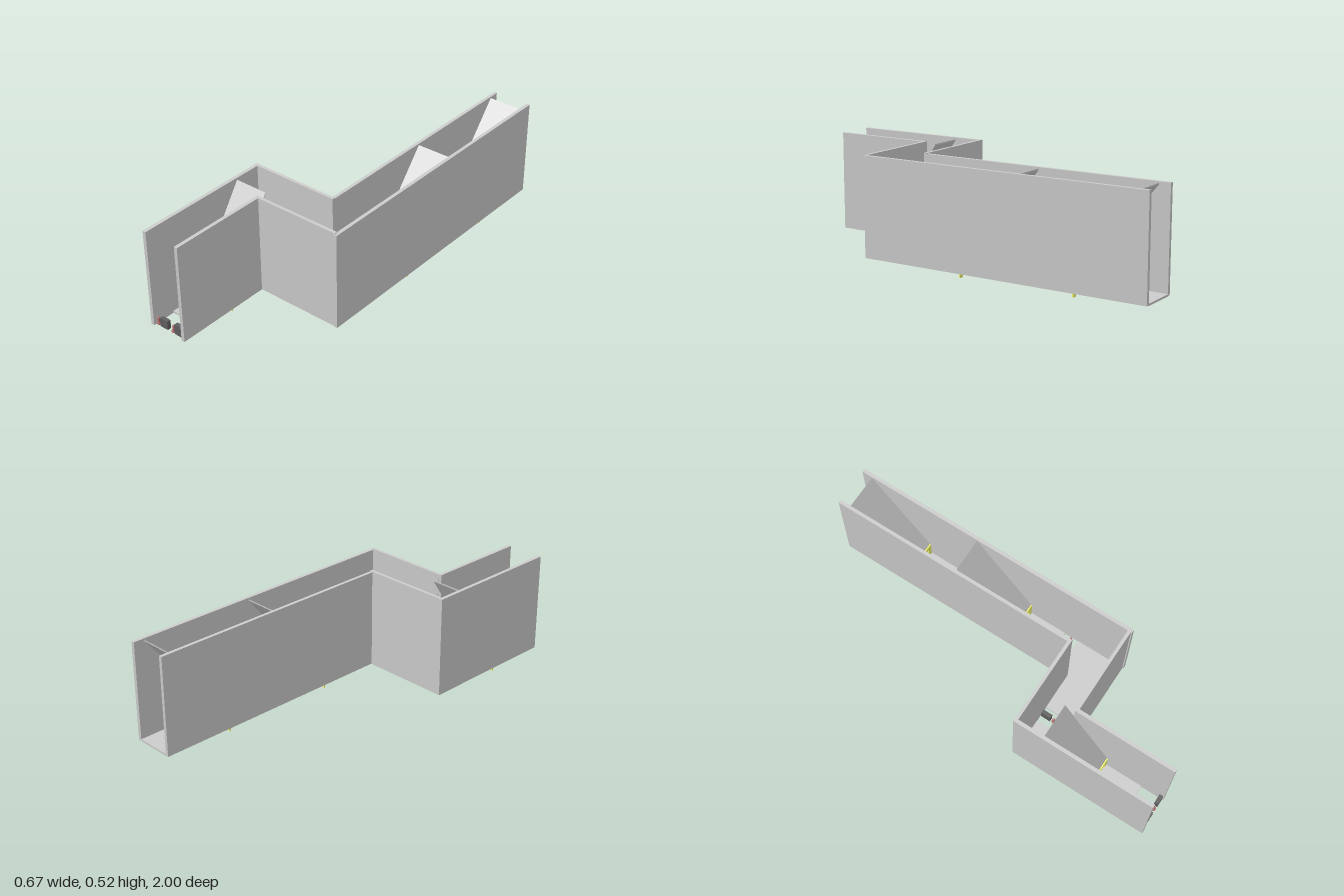
import * as THREE from 'three';

const grey = new THREE.MeshStandardMaterial({ color: 0xcccccc });
const yellow = new THREE.MeshStandardMaterial({ color: 0xf4f870 });
const dark = new THREE.MeshStandardMaterial({ color: 0x606060 });
const red = new THREE.MeshStandardMaterial({ color: 0xbc7474 });

// Box given by its limits on each axis
function box(parent, name, [x0, x1], [y0, y1], [z0, z1], material = grey) {
  const mesh = new THREE.Mesh(new THREE.BoxGeometry(x1 - x0, y1 - y0, z1 - z0), material);
  mesh.position.set((x0 + x1) / 2, (y0 + y1) / 2, (z0 + z1) / 2);
  mesh.name = name;
  parent.add(mesh);
  return mesh;
}

function extrude(parent, name, points, depth, material, hole) {
  const toPts = (list) => list.map(([a, b]) => new THREE.Vector2(a, b));
  const shape = new THREE.Shape(toPts(points));
  if (hole) shape.holes.push(new THREE.Path(toPts(hole)));
  const geometry = new THREE.ExtrudeGeometry(shape, { depth, bevelEnabled: false });
  geometry.translate(0, 0, -depth / 2);
  const mesh = new THREE.Mesh(geometry, material);
  mesh.name = name;
  parent.add(mesh);
  return mesh;
}

// Sloped plate rising to the back, with a yellow doorway and two feet at its low end
function ramp(parent, x, zBack, zFront) {
  const group = new THREE.Group();
  group.name = 'rampWithGate';
  const plate = extrude(group, 'rampPlate',
    [[zBack, 0.505], [zFront, 0.13], [zFront, 0.135], [zBack, 0.512]], 0.176, grey);
  plate.geometry.rotateY(-Math.PI / 2);
  const gate = extrude(group, 'gate',
    [[-0.088, 0.025], [0.088, 0.025], [0.088, 0.13], [-0.088, 0.13]], 0.008, yellow,
    [[-0.067, 0.03], [-0.067, 0.1], [0.067, 0.1], [0.067, 0.03]]);
  gate.position.z = zFront + 0.002;
  for (const s of [-1, 1]) {
    box(group, 'gateFoot', [s * 0.081 - 0.012, s * 0.081 + 0.012], [0, 0.03],
      [zFront - 0.002, zFront + 0.006], yellow);
  }
  group.position.x = x;
  parent.add(group);
}

// Row of small boxes and standing pins that sits in a floor opening
function sensorRow(parent, x, z, turn) {
  const group = new THREE.Group();
  group.name = 'sensorRow';
  box(group, 'smallBlock', [-0.051, -0.004], [0.03, 0.075], [-0.01, 0.01], dark);
  box(group, 'largeBlock', [0.04, 0.09], [0.03, 0.083], [-0.01, 0.01], dark);
  for (const px of [-0.069, 0.024]) {
    const base = new THREE.Mesh(new THREE.CylinderGeometry(0.011, 0.011, 0.007, 12), red);
    base.position.set(px, 0.0335, 0);
    base.name = 'pinBase';
    const stem = new THREE.Mesh(new THREE.CapsuleGeometry(0.006, 0.022, 4, 12), red);
    stem.position.set(px, 0.05, 0);
    stem.name = 'pinStem';
    group.add(base, stem);
  }
  group.position.set(x, 0, z);
  group.rotation.y = turn;
  parent.add(group);
}

export function createModel() {
  const model = new THREE.Group();
  model.name = 'zigzagCorridor';
  const tall = [0.02, 0.522], low = [0.022, 0.518], slab = [0.02, 0.03];

  // Walls
  box(model, 'frontCorridorOuterWall', [-0.333, -0.315], tall, [0.275, 1]);
  box(model, 'frontCorridorInnerWall', [-0.143, -0.125], tall, [0.48, 1]);
  box(model, 'crossingBackWall', [-0.315, 0.137], tall, [0.275, 0.291]);
  box(model, 'crossingFrontWall', [-0.125, 0.32], tall, [0.478, 0.494]);
  box(model, 'rearCorridorInnerWall', [0.12, 0.137], low, [-1, 0.275]);
  box(model, 'rearCorridorOuterWall', [0.315, 0.333], low, [-1, 0.5]);

  // Floor slabs, leaving openings for the sensor rows
  box(model, 'frontCorridorFloor', [-0.315, -0.14], slab, [0.291, 0.88]);
  box(model, 'crossingFloor', [-0.06, 0.137], slab, [0.291, 0.478]);
  for (const z of [[0.24, 0.478], [-0.25, 0.165], [-1, -0.33]]) {
    box(model, 'rearCorridorFloor', [0.137, 0.315], slab, z);
  }

  // Ramps with gates
  ramp(model, -0.229, 0.428, 0.68);
  ramp(model, 0.226, -0.345, -0.038);
  ramp(model, 0.226, -0.945, -0.635);

  // Sensor rows
  sensorRow(model, -0.229, 0.985, 0);
  sensorRow(model, -0.1, 0.385, Math.PI / 2);
  sensorRow(model, 0.226, 0.207, Math.PI);
  sensorRow(model, 0.226, -0.29, Math.PI);
  return model;
}
